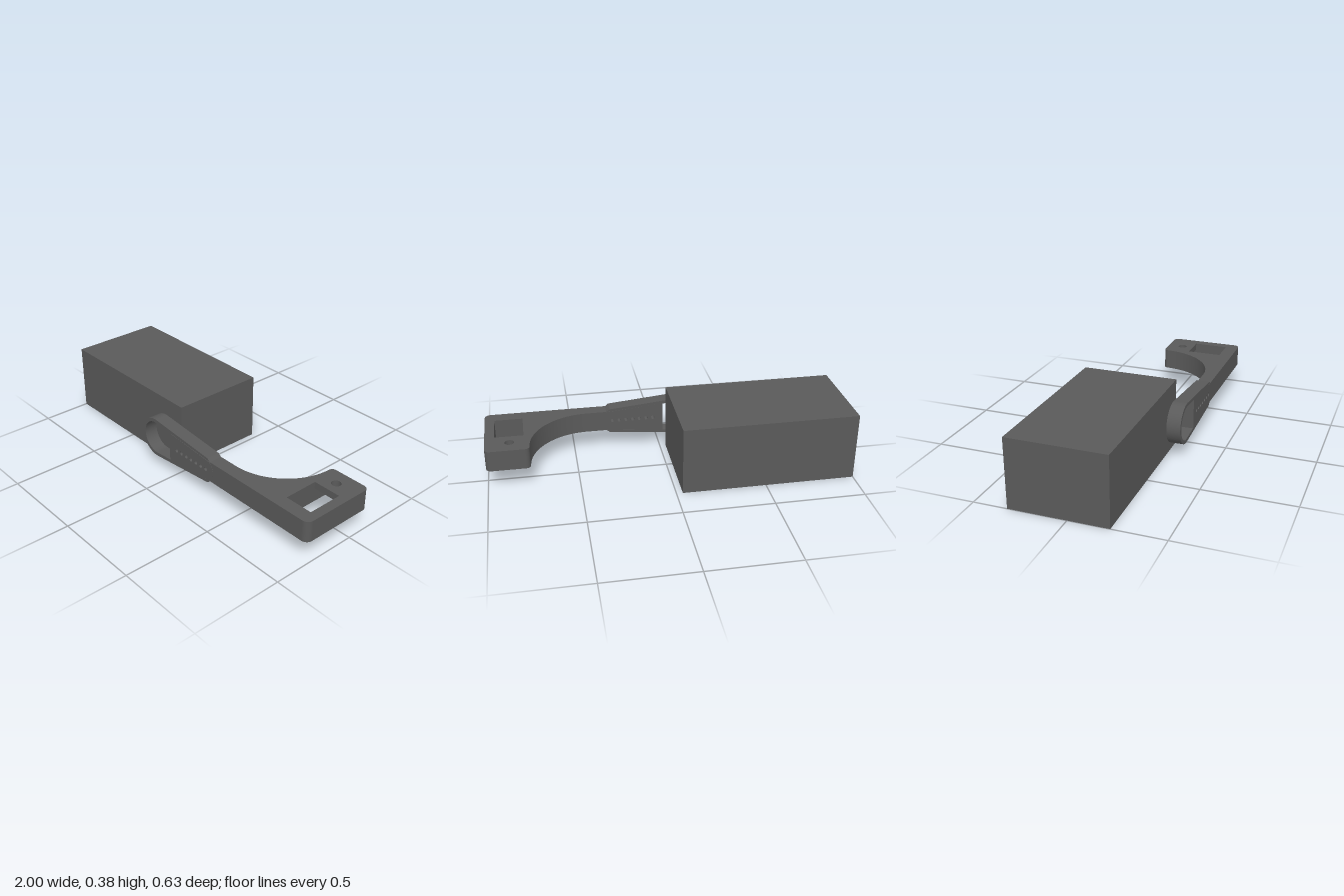
import * as THREE from 'three';

const material = new THREE.MeshStandardMaterial({ color: 0x5a5a5a });
const MID = 0.184;           // height of the arm's centre line
const Z0 = 0.239, Z1 = 0.316; // thickness of the flat bar

function add(group, name, geometry) {
  const mesh = new THREE.Mesh(geometry, material);
  mesh.name = name;
  group.add(mesh);
  return mesh;
}

function extrude(shape, depth) {
  return new THREE.ExtrudeGeometry(shape, { depth, bevelEnabled: false, curveSegments: 32 });
}

function circleHole(x, y, r) {
  return new THREE.Path().absarc(x, y, r, 0, Math.PI * 2, true);
}

function rectangle(x0, y0, x1, y1) {
  return [[x0, y0], [x1, y0], [x1, y1], [x0, y1]].map(([x, y]) => new THREE.Vector2(x, y));
}

export function createModel() {
  const group = new THREE.Group();
  group.name = 'bracketAndBlock';

  // Plain block
  add(group, 'block', new THREE.BoxGeometry(0.965, 0.381, 0.534))
    .position.set(-0.5175, 0.1905, -0.048);

  // U-shaped strap: outer outline, then back along the inner one
  const cx = -0.143, tilt = 0.088;
  const a = Math.PI / 2 - tilt, b = -a;
  const strap = new THREE.Shape();
  strap.moveTo(0.31, 0.059);
  strap.lineTo(0.29, 0.075);
  strap.absarc(cx, 0, 0.115, a, b, false);
  strap.lineTo(0.29, -0.075);
  strap.lineTo(0.31, -0.059);
  strap.absarc(cx, 0, 0.095, b, a, true);
  strap.closePath();
  add(group, 'strap', extrude(strap, Z1 - Z0)).position.set(0, MID - 0.001, Z0);

  // Tapered, round-ended tongue inside the strap, with a row of pin holes
  const tongue = new THREE.Shape();
  tongue.moveTo(-0.02, -0.0855);
  tongue.lineTo(0.305, -0.058);
  tongue.quadraticCurveTo(0.365, 0, 0.305, 0.058);
  tongue.lineTo(-0.02, 0.0855);
  tongue.closePath();
  for (let i = 0; i < 7; i++) tongue.holes.push(circleHole(0.039 + i * 0.0395, 0.001, 0.011));
  add(group, 'tongue', extrude(tongue, Z1 - Z0 + 0.001)).position.set(0, MID - 0.001, Z0);

  // Curved arm drawn in plan (shape y = -z), with an opening for window and pocket
  const arm = new THREE.Shape();
  arm.moveTo(0.31, -Z1);
  arm.lineTo(0.965, -Z1);
  arm.absarc(0.965, -Z1 + 0.035, 0.035, -Math.PI / 2, 0, false);
  arm.lineTo(1, 0.087);
  arm.absarc(0.97, 0.087, 0.03, 0, Math.PI / 2, false);
  arm.lineTo(0.786, 0.117);
  arm.absarc(0.786, 0.091, 0.026, Math.PI / 2, Math.PI, false);
  arm.absarc(0.425, 0.096, 0.335, 0, -Math.PI / 2, true);
  arm.lineTo(0.31, -Z0);
  arm.closePath();
  arm.holes.push(new THREE.Path(rectangle(0.788, -0.24, 0.946, 0.08)));

  // Thin lid over the rear of the opening, leaving a pocket below
  const lid = new THREE.Shape(rectangle(0.788, -0.041, 0.946, 0.08));
  lid.holes.push(circleHole(0.866, 0.028, 0.026));

  for (const [name, shape, depth] of [['arm', arm, 0.118], ['pocketLid', lid, 0.04]]) {
    const mesh = add(group, name, extrude(shape, depth));
    mesh.rotation.x = -Math.PI / 2;
    mesh.position.y = MID + 0.059 - depth;
  }

  return group;
}
